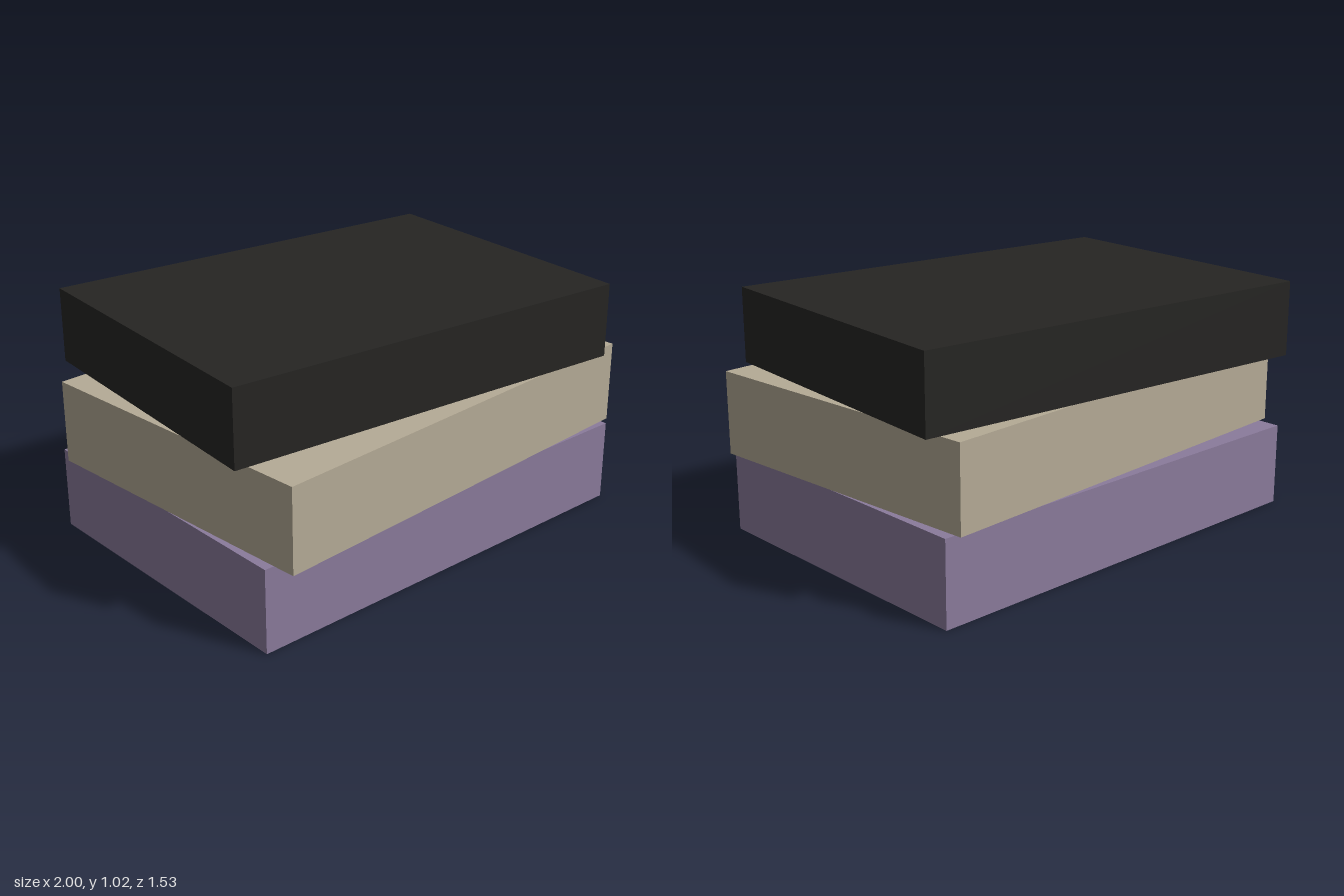
import * as THREE from 'three';

export function createModel() {
  const model = new THREE.Group();

  // One closed slab, resting at height y0 and turned about the vertical axis
  function slab(name, [w, h, d], [x, y0, z], turn, color) {
    const mesh = new THREE.Mesh(
      new THREE.BoxGeometry(w, h, d),
      new THREE.MeshStandardMaterial({ color })
    );
    mesh.name = name;
    mesh.position.set(x, y0 + h / 2, z);
    mesh.rotation.y = THREE.MathUtils.degToRad(turn);
    model.add(mesh);
  }

  // Stack of three slabs, each slightly askew
  slab('bottomSlab', [1.91, 0.353, 1.34], [0, 0, -0.008], 0, 0x8b7b9c);
  slab('middleSlab', [1.91, 0.352, 1.34], [0, 0.353, 0.028], 3.95, 0xb5ab96);
  slab('topSlab', [1.847, 0.318, 1.305], [-0.002, 0.705, -0.035], -5, 0x262523);

  return model;
}
